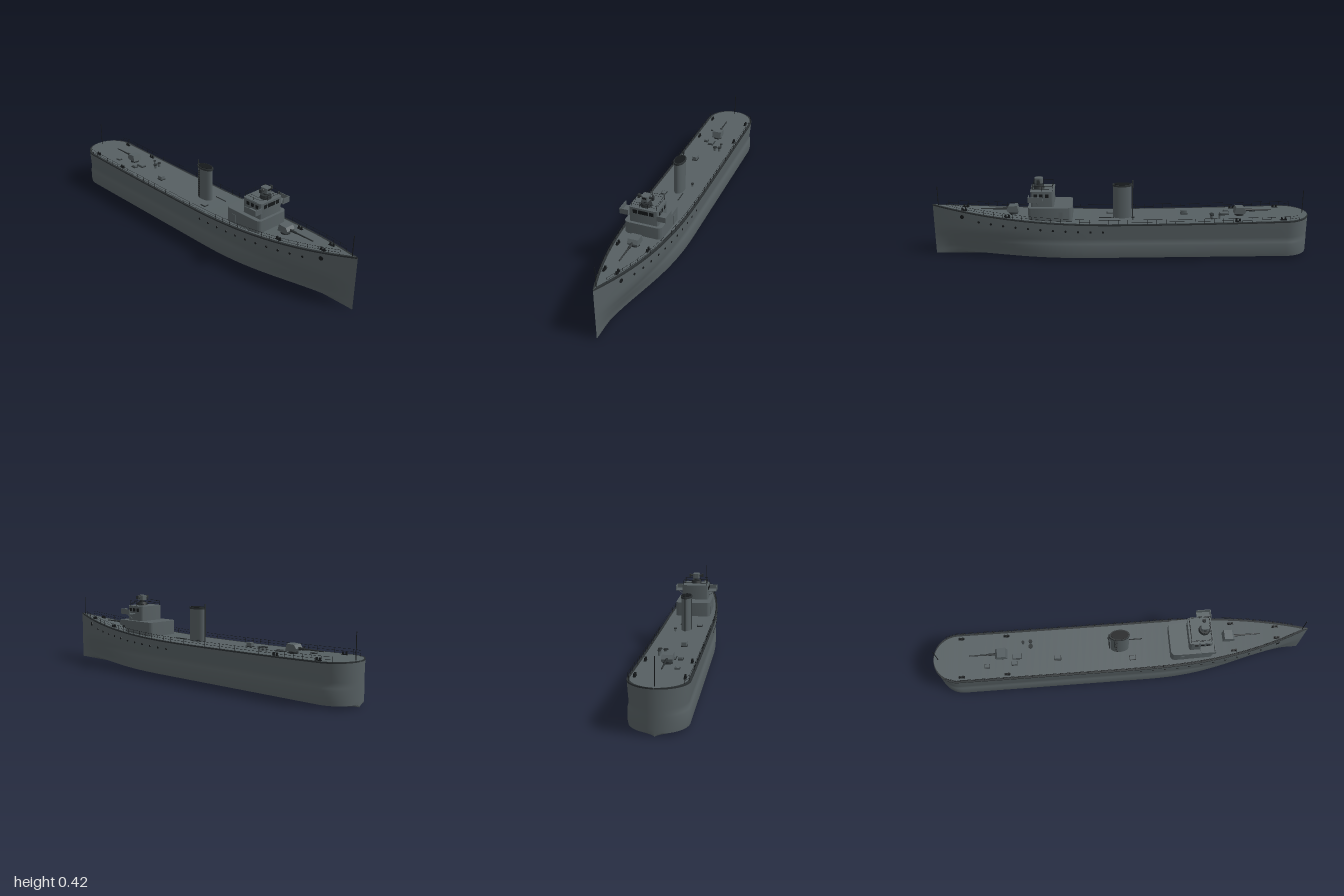
import * as THREE from 'three';
import { mergeGeometries, toCreasedNormals } from 'three/addons/utils/BufferGeometryUtils.js';

const material = (name, color) => Object.assign(new THREE.MeshStandardMaterial({ color }), { name });
const V = (x, y, z) => new THREE.Vector3(x, y, z);

// Hull form: deck height, waterlines and half breadth at any point
const deckY = x => 0.197 + (x < 0 ? 0.013 : 0.078) * x * x;
function breadth(x, y) {
  if (x < -0.87) return 0.136 * Math.sqrt(Math.max(0, 1 - ((x + 0.87) / 0.13) ** 2)) * tuck(y);
  const t = Math.max(0, (x - 0.1) / 0.9);
  const upper = 1 - t ** 2.5, lower = 0.5 + 0.5 * Math.cos(Math.PI * t ** 1.3);
  return 0.136 * THREE.MathUtils.lerp(lower, upper, THREE.MathUtils.smoothstep(y, 0.01, 0.16)) * tuck(y);
}
function tuck(y) {
  if (y < 0.03) return 0.98 + 0.02 * THREE.MathUtils.smoothstep(y, 0.014, 0.03);
  return 1 - 0.05 * THREE.MathUtils.smoothstep(y, 0.08, 0.105) * (1 - THREE.MathUtils.clamp((y - 0.105) / 0.09, 0, 1));
}

// Skin joining a row of equal-length cross-sections
function loft(rows, crease = 0.5) {
  const n = rows[0].length, idx = [];
  for (let i = 0; i < rows.length - 1; i++) for (let j = 0; j < n - 1; j++) {
    const a = i * n + j, b = a + n;
    idx.push(a, a + 1, b, b, a + 1, b + 1);
  }
  const g = new THREE.BufferGeometry().setFromPoints(rows.flat());
  g.setIndex(idx);
  return toCreasedNormals(g, crease);
}

// Plan with rounded corners, extruded upward from y = 0
function roundedBlock(w, h, d, r) {
  const s = new THREE.Shape(), x = w / 2, z = d / 2;
  s.moveTo(-x + r, -z).lineTo(x - r, -z).absarc(x - r, -z + r, r, -Math.PI / 2, 0);
  s.lineTo(x, z - r).absarc(x - r, z - r, r, 0, Math.PI / 2);
  s.lineTo(-x + r, z).absarc(-x + r, z - r, r, Math.PI / 2, Math.PI);
  s.lineTo(-x, -z + r).absarc(-x + r, -z + r, r, Math.PI, Math.PI * 1.5);
  const g = new THREE.ExtrudeGeometry(s, { depth: h, bevelEnabled: false, curveSegments: 6 });
  return toCreasedNormals(g.rotateX(-Math.PI / 2), 0.6);
}

const box = (w, h, d, x, y, z) => new THREE.BoxGeometry(w, h, d).translate(x, y, z);
const post = (r, h, x, y, z, sides = 6) => new THREE.CylinderGeometry(r, r, h, sides).translate(x, y + h / 2, z);
const wire = (pts, r = 0.0008, closed = false) =>
  new THREE.TubeGeometry(new THREE.CatmullRomCurve3(pts, closed, 'catmullrom', 0.1), pts.length * 2, r, 4, closed);

export function createModel() {
  const ship = new THREE.Group();
  ship.name = 'warship';
  const grey = material('hullGrey', 0x565f62);
  const dark = material('darkGrey', 0x2b3032);
  const black = material('fittingBlack', 0x15181a);
  const add = (name, geo, mat, x = 0, y = 0, z = 0, parent = ship) => {
    const m = new THREE.Mesh(Array.isArray(geo) ? mergeGeometries(geo.map(g => g.index ? g.toNonIndexed() : g)) : geo, mat);
    m.name = name;
    m.position.set(x, y, z);
    parent.add(m);
    return m;
  };

  // Hull stations are packed closely around the round stern
  const stations = [];
  for (let i = 0; i <= 14; i++) stations.push(-0.87 - 0.13 * Math.cos(i / 14 * Math.PI / 2));
  for (let i = 1; i <= 48; i++) stations.push(-0.87 + 1.87 * i / 48);
  const levels = [0.17, 0.14, 0.118, 0.105, 0.092, 0.08, 0.05, 0.03, 0.014];
  add('hull', loft(stations.map(x => {
    const side = [deckY(x), ...levels].map(y => V(x, y, breadth(x, y)));
    return [...side, V(x, 0, 0), ...side.map(p => V(x, p.y, -p.z)).reverse()];
  })), grey);
  const edge = x => breadth(x, deckY(x));
  add('deck', loft(stations.map(x => [V(x, deckY(x), -edge(x)), V(x, deckY(x), edge(x))])), grey);

  // Dark gunwale strip along both deck edges
  for (const s of [1, -1]) {
    const rows = stations.map(x => {
      const y = deckY(x), b = edge(x);
      const p = [V(x, y + 0.002, s * Math.max(b - 0.011, 0)), V(x, y + 0.002, s * (b + 0.001)),
        V(x, y - 0.005, s * (b + 0.001))];
      return s > 0 ? p : p.reverse();
    });
    add('gunwale', loft(rows), dark);
  }

  // Portholes and hawse holes lie flat against the hull side
  const disc = (name, x, y, r, s) => {
    const e = 0.004, b = breadth(x, y);
    const n = V(-(breadth(x + e, y) - breadth(x - e, y)) / (2 * e),
      -(breadth(x, y + e) - breadth(x, y - e)) / (2 * e), 1).normalize();
    n.z *= s;
    add(name, new THREE.CylinderGeometry(r, r, 0.004, 12), black, x, y, s * b)
      .quaternion.setFromUnitVectors(V(0, 1, 0), n);
  };
  for (const s of [1, -1]) {
    for (let i = 0; i < 11; i++) disc('porthole', 0.1 + i * 0.065, deckY(0.1 + i * 0.065) - 0.041, 0.006, s);
    disc('hawseHole', 0.84, deckY(0.84) - 0.03, 0.011, s);
  }

  // Deck railings with two wires
  for (const s of [1, -1]) {
    const parts = [], foot = [];
    for (let i = 0; i <= 37; i++) {
      const x = -0.93 + i * 0.05;
      foot.push(V(x, deckY(x), s * (edge(x) - 0.004)));
    }
    foot.forEach(p => parts.push(post(0.0009, 0.027, p.x, p.y, p.z, 4)));
    for (const h of [0.014, 0.027]) parts.push(wire(foot.map(p => V(p.x, p.y + h, p.z)), 0.0007));
    add('deckRailing', parts, black);
  }

  // Flagstaffs at bow and stern
  add('bowStaff', post(0.002, 0.105, 0.97, 0.27, 0), black);
  add('sternStaff', post(0.002, 0.13, -0.975, 0.208, 0), black);

  // Deckhouse and bridge
  add('deckhouse', roundedBlock(0.23, 0.085, 0.196, 0.025), grey, 0.375, 0.195);
  add('bridge', roundedBlock(0.12, 0.08, 0.15, 0.012), grey, 0.415, 0.28);
  add('bridgeRoof', roundedBlock(0.124, 0.004, 0.146, 0.012), grey, 0.415, 0.358);
  for (const s of [1, -1]) {
    add('bridgeWing', [box(0.075, 0.004, 0.047, 0.4475, 0.319, s * 0.0965),
      box(0.004, 0.027, 0.045, 0.483, 0.332, s * 0.0965),
      box(0.075, 0.027, 0.003, 0.4475, 0.332, s * 0.1185)], grey);
    add('wingStrut', wire([V(0.44, 0.29, s * 0.075), V(0.44, 0.318, s * 0.112)], 0.002), grey);
    add('frontWindow', box(0.003, 0.02, 0.022, 0.475, 0.34, s * 0.042), black);
    for (const x of [0.39, 0.42, 0.45]) add('sideWindow', box(0.018, 0.018, 0.003, x, 0.34, s * 0.075), black);
    add('houseDoor', box(0.022, 0.05, 0.003, 0.32, 0.232, s * 0.098), grey);
  }
  add('frontWindow', box(0.003, 0.02, 0.05, 0.475, 0.34, 0), black);

  // Railing on the bridge roof
  const corners = [[0.362, -0.065], [0.415, -0.065], [0.466, -0.065], [0.466, -0.022], [0.466, 0.022],
    [0.466, 0.065], [0.415, 0.065], [0.362, 0.065], [0.362, 0]];
  add('roofRailing', [...corners.map(([x, z]) => post(0.001, 0.026, x, 0.362, z, 4)),
    ...[0.375, 0.388].map(y => wire(corners.map(([x, z]) => V(x, y, z)), 0.0008, true))], black);

  // Gun director with rangefinder arms
  const director = new THREE.Group();
  director.name = 'gunDirector';
  director.position.set(0.435, 0.36, 0);
  ship.add(director);
  add('directorBase', new THREE.CylinderGeometry(0.026, 0.03, 0.018, 16), dark, 0, 0.011, 0, director);
  add('directorNeck', post(0.013, 0.016, 0, 0.018, 0, 12), dark, 0, 0, 0, director);
  add('directorBody', roundedBlock(0.042, 0.028, 0.036, 0.008), grey, 0, 0.031, 0, director);
  add('rangefinder', new THREE.CylinderGeometry(0.006, 0.006, 0.076, 10).rotateX(Math.PI / 2), dark, 0, 0.047, 0, director);
  for (const s of [1, -1]) add('rangefinderEnd', box(0.016, 0.018, 0.01, 0, 0.047, s * 0.036), dark, 0, 0, 0, director);
  add('directorSight', box(0.003, 0.008, 0.02, 0.021, 0.05, 0), black, 0, 0, 0, director);

  // Oval funnel with rim, dark mouth, ladder and steam pipe
  const oval = (r, h) => new THREE.CylinderGeometry(r, r, h, 28).scale(1, 1, 0.56);
  add('funnel', oval(0.049, 0.185), grey, -0.005, 0.285);
  add('funnelRim', oval(0.053, 0.01), dark, -0.005, 0.375);
  add('funnelMouth', oval(0.045, 0.006), black, -0.005, 0.379);
  add('steamPipe', post(0.003, 0.205, -0.06, 0.195, 0, 8), dark);
  const rungs = [];
  for (let i = 0; i < 12; i++) rungs.push(box(0.014, 0.0015, 0.002, -0.025, 0.215 + i * 0.013, 0.028));
  for (const x of [-0.032, -0.018]) rungs.push(box(0.0015, 0.17, 0.002, x, 0.285, 0.028));
  add('funnelLadder', rungs, black);

  // Shielded deck guns, one facing the bow and one facing the stern
  const shield = new THREE.Shape([[-0.03, 0], [0.026, 0], [0.034, 0.015], [0.022, 0.033], [-0.022, 0.036]]
    .map(p => new THREE.Vector2(...p)));
  for (const [x, dir] of [[0.575, 1], [-0.635, -1]]) {
    const gun = new THREE.Group();
    gun.name = 'deckGun';
    gun.position.set(x, deckY(x), 0);
    if (dir < 0) gun.rotation.y = Math.PI;
    ship.add(gun);
    add('gunBase', post(0.024, 0.014, 0, 0, 0, 16), dark, 0, 0, 0, gun);
    add('gunShield', new THREE.ExtrudeGeometry(shield, { depth: 0.052, bevelEnabled: false })
      .translate(0, 0.012, -0.026), grey, 0, 0, 0, gun);
    add('gunBarrel', new THREE.CylinderGeometry(0.003, 0.005, 0.145, 10).rotateZ(-Math.PI / 2),
      dark, 0.098, 0.027, 0, gun);
    add('gunSleeve', new THREE.CylinderGeometry(0.006, 0.007, 0.04, 10).rotateZ(-Math.PI / 2),
      dark, 0.048, 0.027, 0, gun);
  }

  // Twin bollards
  for (const s of [1, -1]) for (const [x, z] of [[-0.85, 0.108], [-0.61, 0.108], [0.6, 0.077], [0.83, 0.032]])
    add('bollards', [box(0.032, 0.003, 0.012, x, deckY(x) + 0.002, s * z),
      ...[-0.009, 0.009].map(o => post(0.005, 0.015, x + o, deckY(x), s * z, 8))], black);

  // Hatches, lockers and vents scattered over the deck
  for (const [x, z, w, d, h] of [[-0.555, 0.012, 0.045, 0.026, 0.012], [-0.57, 0.05, 0.026, 0.018, 0.014],
    [-0.715, 0.055, 0.024, 0.018, 0.008], [-0.34, 0.035, 0.032, 0.024, 0.022], [0.06, 0.065, 0.03, 0.022, 0.006]]) {
    add('hatch', roundedBlock(w, h, d, 0.003), grey, x, deckY(x), z);
    add('hatchCoaming', roundedBlock(w + 0.006, 0.004, d + 0.006, 0.003), dark, x, deckY(x), z);
  }
  for (const [x, z, r, h] of [[-0.48, -0.062, 0.01, 0.02], [-0.48, -0.035, 0.012, 0.018],
    [-0.52, -0.06, 0.008, 0.022], [-0.06, -0.052, 0.008, 0.012]]) {
    add('vent', post(r * 0.7, h, x, deckY(x), z, 12), grey);
    add('ventCap', post(r, 0.005, x, deckY(x) + h, z, 12), dark);
  }
  add('boom', wire([V(0.04, 0.206, -0.036), V(0.12, 0.206, -0.036)], 0.003), dark);
  return ship;
}
